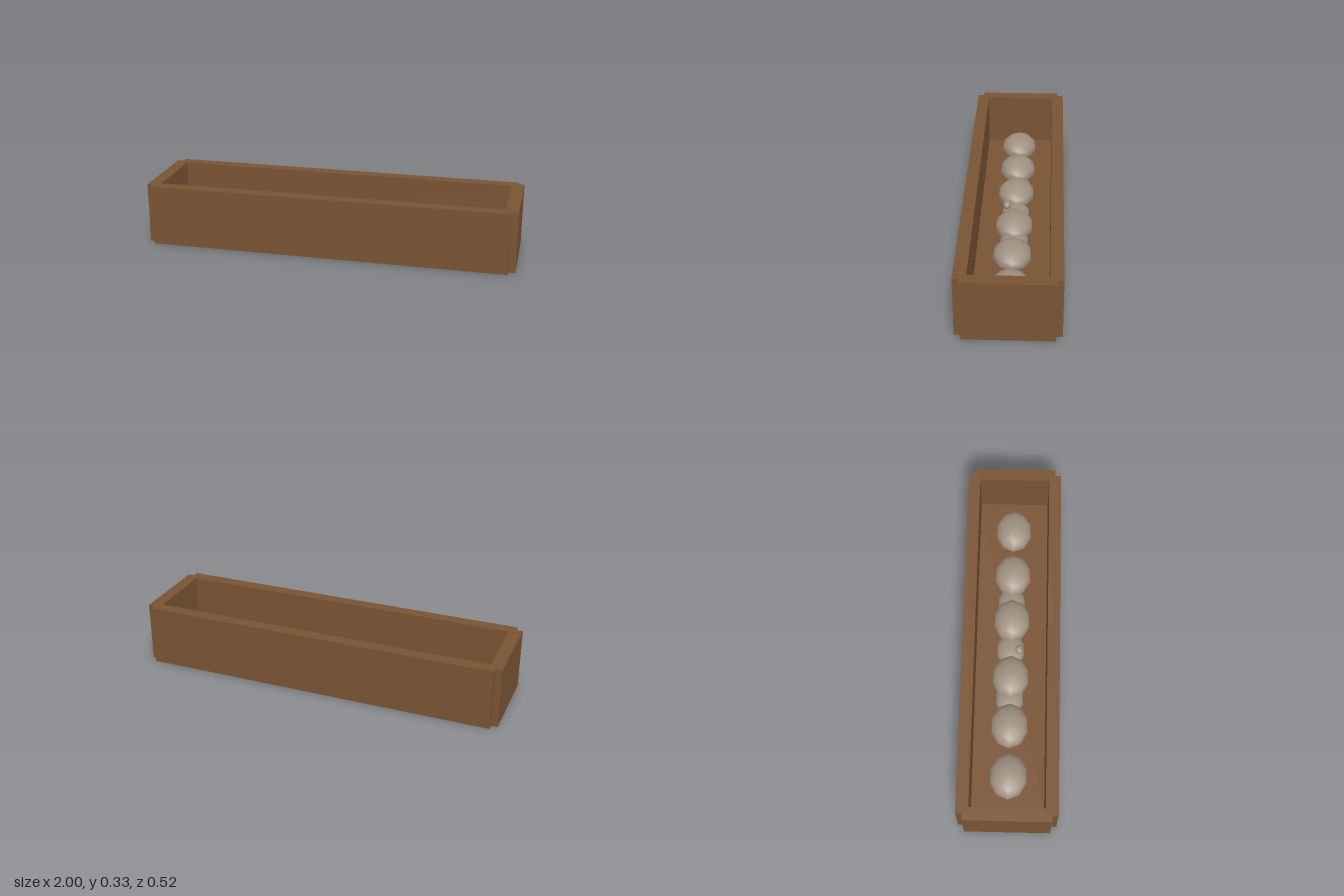
import * as THREE from 'three';

export function createModel() {
  const group = new THREE.Group();
  group.name = 'stonePlanter';

  const wood = new THREE.MeshStandardMaterial({ color: 0x7a5434 });
  wood.name = 'brown wood';
  const stone = new THREE.MeshStandardMaterial({ color: 0x9f9080 });
  stone.name = 'grey stone';

  const height = 0.33;

  const addBoard = (name, w, h, d, x, y, z) => {
    const mesh = new THREE.Mesh(new THREE.BoxGeometry(w, h, d), wood);
    mesh.name = name;
    mesh.position.set(x, y, z);
    group.add(mesh);
  };

  // Long walls, and end walls set slightly proud so the corners are notched
  for (const [side, s] of [['front', 1], ['back', -1]]) {
    addBoard(side + 'Wall', 1.93, height, 0.066, 0, height / 2, s * 0.228);
  }
  for (const [side, s] of [['left', 1], ['right', -1]]) {
    addBoard(side + 'Wall', 0.068, height, 0.456, s * 0.966, height / 2, 0);
  }

  // Floor between the walls
  addBoard('floor', 1.87, 0.035, 0.4, 0, 0.0175, 0);

  // Smooth, faceted-outline stones
  const stoneShape = new THREE.SphereGeometry(1, 10, 8);
  const addStone = (name, x, y, z, rx, ry, rz) => {
    const mesh = new THREE.Mesh(stoneShape, stone);
    mesh.name = name;
    mesh.position.set(x, y, z);
    mesh.scale.set(rx, ry, rz);
    group.add(mesh);
  };

  // Row of large stones
  [-0.72, -0.443, -0.168, 0.165, 0.44, 0.718].forEach((x, i) =>
    addStone('largeStone' + (i + 1), x, 0.105, 0, 0.126, 0.07, 0.103));

  // Flatter stones filling the gaps
  [-0.28, 0, 0.28].forEach((x, i) =>
    addStone('fillerStone' + (i + 1), x, 0.075, -0.003, 0.11, 0.045, 0.078));

  // Small pebble resting in the middle
  addStone('pebble', -0.01, 0.125, 0.045, 0.027, 0.022, 0.023);

  return group;
}
